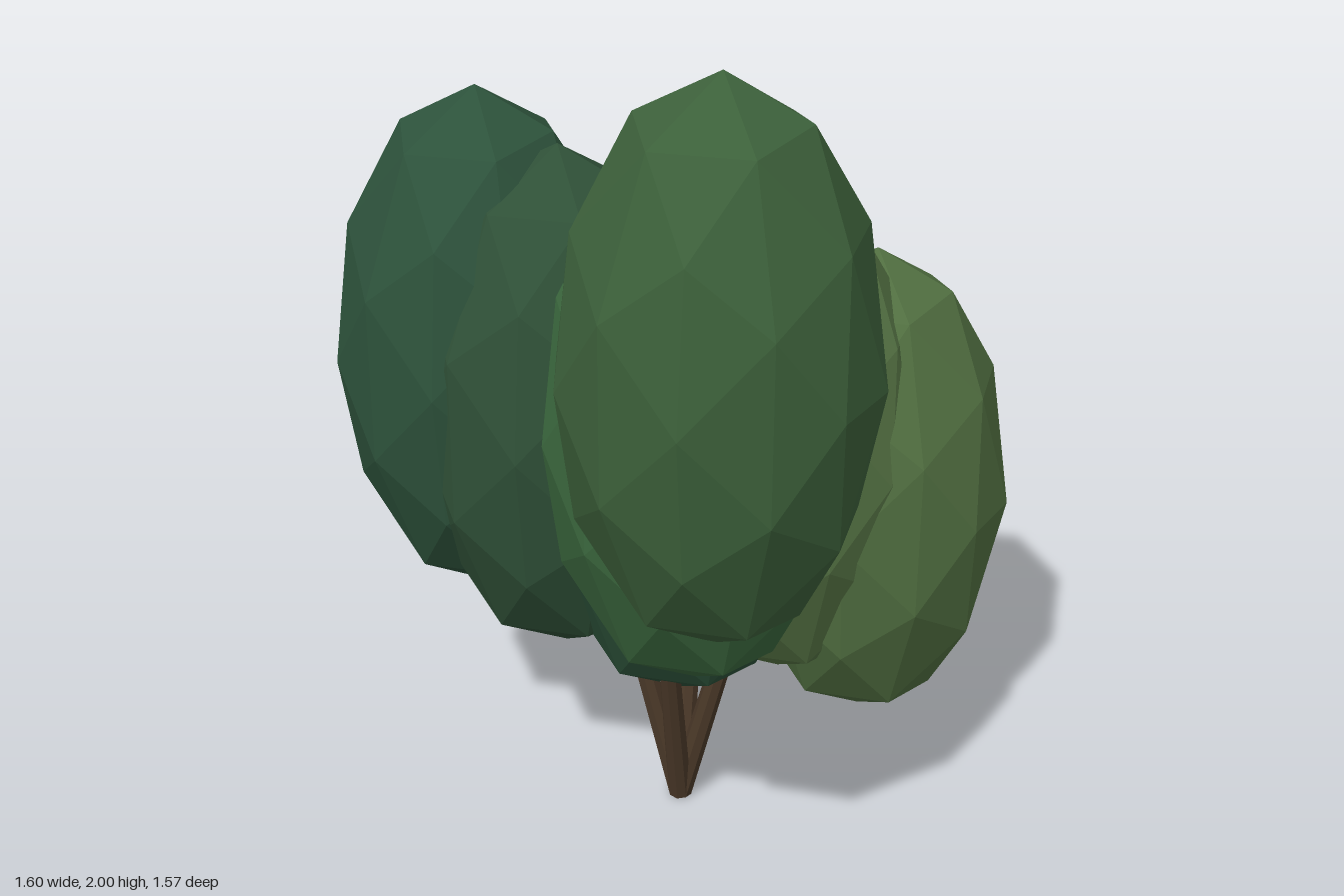
import * as THREE from 'three';

const material = (color) => new THREE.MeshStandardMaterial({ color, flatShading: true });

export function createModel() {
  const tree = new THREE.Group();
  tree.name = 'tree';

  // Four tapered stems fanning out in a cross from one foot
  const foot = new THREE.Vector3(0.07, 0, 0.01);
  const height = 1.33, spread = 0.345;
  const bark = material(0x4a3828);
  const stems = new THREE.Group();
  stems.name = 'stems';
  const up = new THREE.Vector3(0, 1, 0);
  for (let i = 0; i < 4; i++) {
    const a = (i * Math.PI) / 2;
    const lean = new THREE.Vector3(Math.cos(a) * spread, height, Math.sin(a) * spread);
    const stem = new THREE.Mesh(new THREE.CylinderGeometry(0.018, 0.03, lean.length(), 8), bark);
    stem.name = 'stem';
    stem.position.copy(foot).addScaledVector(lean, 0.5);
    stem.position.y += 0.007;
    stem.quaternion.setFromUnitVectors(up, lean.normalize());
    stems.add(stem);
  }
  tree.add(stems);

  // Tall faceted clumps of leaves, all of one size: name, x, y, z, color
  const clumps = [
    ['centreFoliage', 0.07, 0.955, 0.0, 0x2b5038],
    ['leftwardInnerFoliage', -0.23, 1.04, -0.01, 0x2f5037],
    ['leftwardOuterFoliage', -0.445, 1.145, -0.07, 0x2d523b],
    ['frontInnerFoliage', 0.155, 1.125, 0.215, 0x3b683e],
    ['frontOuterFoliage', 0.255, 1.355, 0.43, 0x3c603a],
    ['backInnerFoliage', 0.25, 0.865, -0.31, 0x547243],
    ['backOuterFoliage', 0.445, 0.708, -0.433, 0x506e40],
  ];
  // Mirrored naming: the model's right is -x
  const leaf = new THREE.IcosahedronGeometry(1, 1);
  leaf.scale(0.355, 0.645, 0.355);
  for (const [name, x, y, z, color] of clumps) {
    const clump = new THREE.Mesh(leaf, material(color));
    clump.name = name.replace('leftward', 'right');
    clump.position.set(x, y, z);
    tree.add(clump);
  }
  return tree;
}
